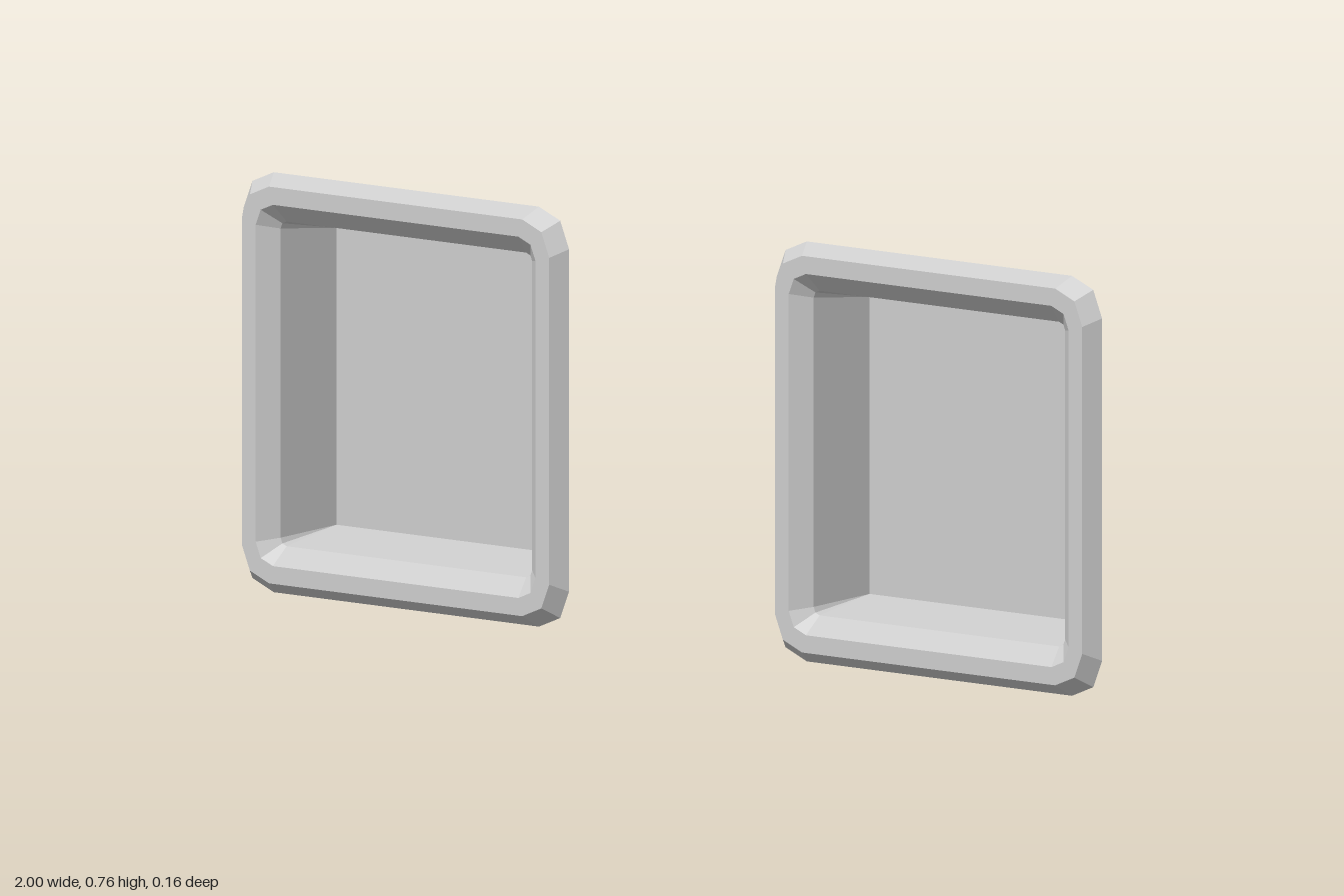
import * as THREE from 'three';

// Square ring with rounded corners (two segments each), counter-clockwise from the front
function ring([half, radius, z]) {
  const points = [];
  for (let corner = 0; corner < 4; corner++) {
    const start = corner * Math.PI / 2;
    const cx = (corner === 0 || corner === 3 ? 1 : -1) * (half - radius);
    const cy = (corner < 2 ? 1 : -1) * (half - radius);
    for (let s = 0; s < 3; s++) {
      const a = start + s * Math.PI / 4;
      points.push([cx + radius * Math.cos(a), cy + radius * Math.sin(a), z]);
    }
  }
  return points;
}

// Skin a sequence of rings, given from the outside in
function loft(profile) {
  const rings = profile.map(ring);
  const n = rings[0].length;
  const index = [];
  for (let r = 0; r < rings.length - 1; r++) {
    for (let i = 0; i < n; i++) {
      const j = (i + 1) % n;
      const a = r * n + i, b = r * n + j, c = a + n, d = b + n;
      index.push(a, b, d);
      // a sharp corner collapses to a point, so it needs one triangle only
      if (profile[r + 1][1] > 0 || i % 3 === 2) index.push(a, d, c);
    }
  }
  const geometry = new THREE.BufferGeometry();
  geometry.setAttribute('position', new THREE.Float32BufferAttribute(rings.flat(2), 3));
  geometry.setIndex(index);
  geometry.computeVertexNormals();
  return geometry;
}

export function createModel() {
  const model = new THREE.Group();
  const material = new THREE.MeshStandardMaterial({
    color: 0xcccccc, flatShading: true, side: THREE.DoubleSide,
  });

  // Each ring: half width, corner radius, z
  const rimBack = 0.048, rimFront = 0.078, panBack = -0.077;
  const rimGeometry = loft([
    [0.379, 0.07, rimBack],
    [0.358, 0.063, rimFront],
    [0.326, 0.04, rimFront],
    [0.293, 0.014, rimBack],
  ]);
  const wallGeometry = loft([
    [0.293, 0.014, rimBack],
    [0.268, 0, panBack],
  ]);
  const floorGeometry = new THREE.PlaneGeometry(0.536, 0.536);

  for (const side of [-1, 1]) {
    const tray = new THREE.Group();
    tray.name = side > 0 ? 'leftTray' : 'rightTray';

    // Bevelled hollow rim
    const rim = new THREE.Mesh(rimGeometry, material);
    rim.name = 'rim';

    // Tapered recess walls
    const walls = new THREE.Mesh(wallGeometry, material);
    walls.name = 'recessWalls';

    // Flat back of the recess
    const floor = new THREE.Mesh(floorGeometry, material);
    floor.name = 'recessBack';
    floor.position.z = panBack;

    tray.add(rim, walls, floor);
    tray.position.set(side * 0.621, 0.379, 0);
    model.add(tray);
  }
  return model;
}
